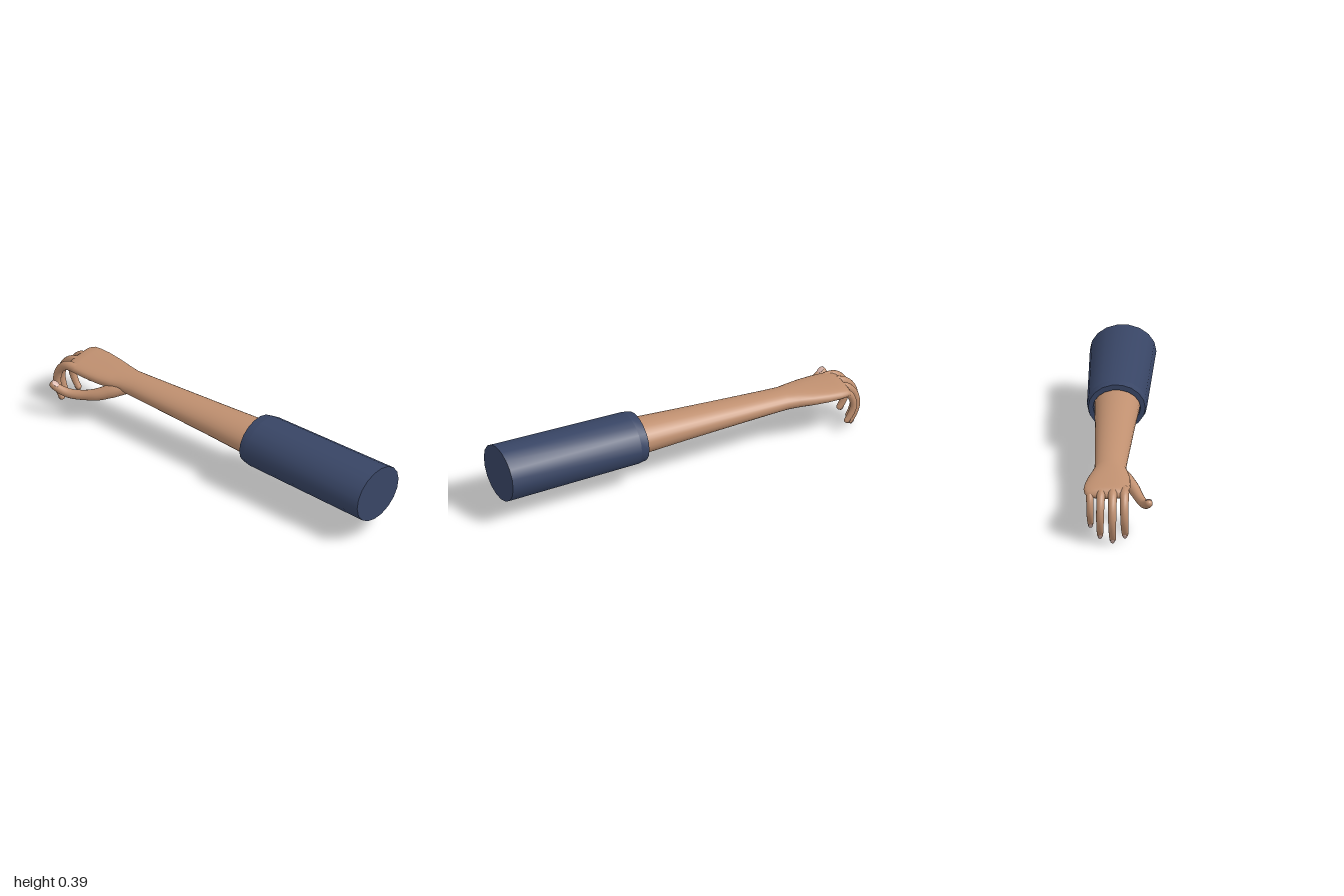
import * as THREE from 'three';

const mat = (name, color) => {
  const m = new THREE.MeshStandardMaterial({ color });
  m.name = name;
  return m;
};
const V = (x, y, z) => new THREE.Vector3(x, y, z);

// Skin a list of rings; each ring is { c, a, b, p }: centre, two half axes, superellipse power
function loft(rings, sides) {
  const pos = [], index = [];
  const bend = (v, p) => Math.sign(v) * Math.pow(Math.abs(v), p);
  rings.forEach(({ c, a, b, p = 1 }) => {
    for (let j = 0; j < sides; j++) {
      const t = (j / sides) * Math.PI * 2;
      const q = c.clone().addScaledVector(a, bend(Math.cos(t), p)).addScaledVector(b, bend(Math.sin(t), p));
      pos.push(q.x, q.y, q.z);
    }
  });
  for (let r = 0; r < rings.length - 1; r++) {
    for (let j = 0; j < sides; j++) {
      const k = (j + 1) % sides, A = r * sides, B = A + sides;
      index.push(A + j, A + k, B + k, A + j, B + k, B + j);
    }
  }
  const g = new THREE.BufferGeometry();
  g.setAttribute('position', new THREE.Float32BufferAttribute(pos, 3));
  g.setIndex(index);
  g.computeVertexNormals();
  return g;
}

// Ring across z: [z, centre x, centre y, half width, half height, power]
const zRing = ([z, x, y, rx, ry, p]) => ({ c: V(x, y, z), a: V(rx, 0, 0), b: V(0, -ry, 0), p });

export function createModel() {
  const skin = mat('skin', 0xc09070);
  const cloth = mat('sleeveCloth', 0x384565);
  const nailColor = mat('nail', 0xd6b2a8);
  const model = new THREE.Group();
  const add = (name, geometry, material, parent = model) => {
    const mesh = new THREE.Mesh(geometry, material);
    mesh.name = name;
    parent.add(mesh);
    return mesh;
  };

  // Sleeve: closed at the shoulder end, hollow cuff; doubled rings keep the edges sharp
  add('sleeve', loft([
    [1, 0, 0], [1, 0.165, 0.14], [1, 0.165, 0.14], [0.28, 0.15, 0.129], [0.28, 0.15, 0.129],
    [0.235, 0.142, 0.121], [0.235, 0.142, 0.121], [0.235, 0.118, 0.094], [0.235, 0.118, 0.094],
    [0.3, 0.112, 0.084],
  ].map(([z, rx, ry]) => zRing([z, 0.0285, 0.245, rx, ry])), 18), cloth);

  // Forearm, wrist and palm in one skin
  add('forearmAndPalm', loft([
    [0.31, 0.0275, 0.245, 0.114, 0.088],
    [0.23, 0.0275, 0.245, 0.112, 0.086],
    [0, 0.0275, 0.243, 0.1, 0.074],
    [-0.25, 0.0275, 0.24, 0.09, 0.062],
    [-0.5, 0.0275, 0.237, 0.08, 0.051],
    [-0.57, 0.0275, 0.236, 0.079, 0.048],
    [-0.63, 0.026, 0.236, 0.091, 0.045, 0.95],
    [-0.7, 0.028, 0.235, 0.105, 0.041, 0.88],
    [-0.78, 0.032, 0.235, 0.114, 0.035, 0.82],
    [-0.84, 0.034, 0.235, 0.115, 0.031, 0.8],
    [-0.875, 0.034, 0.234, 0.111, 0.029, 0.8],
    [-0.895, 0.034, 0.23, 0.102, 0.023, 0.8],
    [-0.905, 0.034, 0.226, 0.09, 0.012, 0.8],
    [-0.907, 0.034, 0.225, 0, 0],
  ].map(zRing), 28), skin);

  // Digit: tapered tube with rounded tip, plus a nail lying on its outer side
  function digit(name, points, radii, across, nailSide, nail) {
    const group = new THREE.Group();
    group.name = name;
    model.add(group);
    const curve = new THREE.CatmullRomCurve3(points.map((p) => V(...p)));
    const length = curve.getLength();
    const tipR = radii[radii.length - 1];
    const frame = (u) => {
      const t = curve.getTangentAt(u);
      const a = across.clone().addScaledVector(t, -across.dot(t)).normalize();
      return { c: curve.getPointAt(u), t, a, b: t.clone().cross(a) };
    };
    const radiusAt = (u) => {
      const s = u * (radii.length - 1), i = Math.min(Math.floor(s), radii.length - 2);
      return THREE.MathUtils.lerp(radii[i], radii[i + 1], s - i);
    };
    const ring = (u, r) => {
      const f = frame(u);
      return { c: f.c, a: f.a.multiplyScalar(r), b: f.b.multiplyScalar(r) };
    };
    const rings = [], bodyEnd = 1 - tipR / length;
    for (let i = 0; i <= 18; i++) {
      const u = (i / 18) * bodyEnd;
      rings.push(ring(u, radiusAt(u)));
    }
    const r0 = radiusAt(bodyEnd);
    for (let i = 1; i <= 5; i++) {
      const t = (i / 5) * Math.PI / 2;
      rings.push(ring(bodyEnd + (1 - bodyEnd) * Math.sin(t), i === 5 ? 0 : r0 * Math.cos(t)));
    }
    add(name + 'Flesh', loft(rings, 14), skin, group);

    const u = 1 - (nail.length * 1.05) / length, f = frame(u);
    const up = f.b.clone().multiplyScalar(Math.sign(f.b.dot(nailSide)));
    const m = add(name + 'Nail', new THREE.SphereGeometry(1, 14, 8), nailColor, group);
    m.scale.set(nail.width, 0.0045, nail.length);
    m.quaternion.setFromRotationMatrix(new THREE.Matrix4().makeBasis(f.a, up, f.a.clone().cross(up)));
    m.position.copy(f.c).addScaledVector(up, radiusAt(u) * 0.9);
  }

  // Four fingers curling down: [name, base x, tip x, path in (y, z), radius]
  [
    ['indexFinger', -0.055, -0.061, [[0.236, -0.84], [0.232, -0.9], [0.19, -0.945], [0.12, -0.962], [0.06, -0.945], [0.02, -0.92]], 0.021],
    ['middleFinger', 0.003, 0, [[0.236, -0.84], [0.232, -0.905], [0.19, -0.958], [0.115, -0.981], [0.05, -0.968], [0, -0.94]], 0.021],
    ['ringFinger', 0.06, 0.064, [[0.236, -0.84], [0.23, -0.9], [0.19, -0.943], [0.12, -0.962], [0.06, -0.945], [0.014, -0.915]], 0.02],
    ['littleFinger', 0.116, 0.113, [[0.234, -0.83], [0.226, -0.885], [0.19, -0.912], [0.14, -0.92], [0.095, -0.903], [0.056, -0.875]], 0.018],
  ].forEach(([name, x0, x1, path, r]) => digit(
    name,
    path.map(([y, z], i) => [x0 + (x1 - x0) * i / 5, y, z]),
    [r * 1.15, r * 1.1, r, r * 0.96, r * 0.88, r * 0.72],
    V(1, 0, 0), V(0, 0, -1), { width: 0.011, length: 0.017 },
  ));

  // Thumb spreading out to the side, tip bent upward
  digit('thumb', [
    [-0.015, 0.222, -0.56], [-0.055, 0.2, -0.62], [-0.095, 0.174, -0.68], [-0.128, 0.155, -0.76],
    [-0.152, 0.154, -0.82], [-0.17, 0.172, -0.868], [-0.181, 0.194, -0.908],
  ], [0.03, 0.036, 0.032, 0.026, 0.024, 0.023, 0.018],
  V(1, 0.1, -0.2), V(0, 1, 0.4), { width: 0.016, length: 0.024 });

  return model;
}
